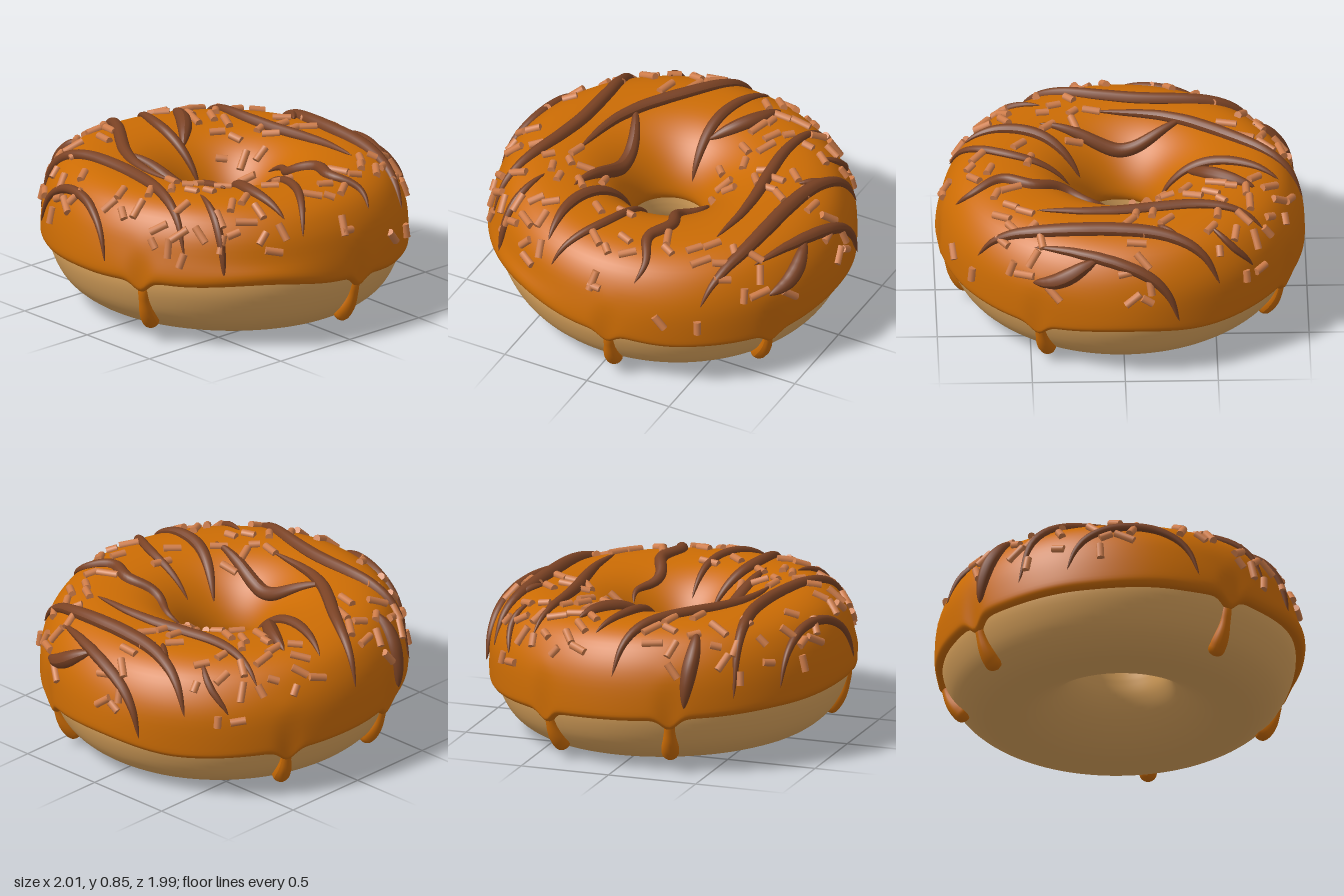
import * as THREE from 'three';

const mat = (name, color) => Object.assign(new THREE.MeshStandardMaterial({ color }), { name });
const V2 = (p) => new THREE.Vector2(p[0], p[1]);
const DEG = Math.PI / 180;

// Ring space (radius, height, azimuth) to model space, with an off-centre hole and a slight tilt
function place(r, y, az) {
  const x = r * Math.cos(az) - 0.035 * (1 - r);
  return new THREE.Vector3(x, y - 0.028 * x, r * Math.sin(az) + 0.01 * (1 - r));
}

// Ring surface swept round the axis from one cross-section per azimuth
function ringSurface(section, nAz, closed) {
  const pos = [], idx = [];
  let n = 0;
  for (let i = 0; i < nAz; i++) {
    const az = (i / nAz) * Math.PI * 2, pts = section(az);
    n = pts.length;
    for (const p of pts) pos.push(...place(p.x, p.y, az).toArray());
  }
  for (let i = 0; i < nAz; i++) {
    const k = (i + 1) % nAz;
    for (let j = 0; j < (closed ? n : n - 1); j++) {
      const m = (j + 1) % n;
      idx.push(i * n + j, k * n + j, i * n + m, k * n + j, k * n + m, i * n + m);
    }
  }
  const g = new THREE.BufferGeometry();
  g.setAttribute('position', new THREE.Float32BufferAttribute(pos, 3));
  g.setIndex(idx);
  g.computeVertexNormals();
  return g;
}

// Icing rim height round the ring, dipping where the drips run
const DRIPS = [84, 29, 160, -65, -109].map((d) => d * DEG);
const RIM = [0.32, 0.29, 0.3, 0.34, 0.38, 0.355, 0.335, 0.32, 0.31, 0.3, 0.29, 0.28];
function rimHeight(az) {
  const t = (az / (Math.PI * 2)) * RIM.length, i = Math.floor(t);
  const w = (1 - Math.cos((t - i) * Math.PI)) / 2;
  let y = THREE.MathUtils.lerp(RIM[i], RIM[(i + 1) % RIM.length], w);
  for (const d of DRIPS) {
    const a = Math.atan2(Math.sin(az - d), Math.cos(az - d));
    y -= 0.06 * Math.exp(-((a / 0.06) ** 2));
  }
  return y;
}

// Icing cross-section, from inside the hole over the top to the outer lip
function icingSection(rim, n) {
  const R = 0.87 + 0.25 * rim;
  return new THREE.SplineCurve([
    [0.26, 0.39], [0.215, 0.405], [0.198, 0.46], [0.225, 0.555], [0.285, 0.65], [0.37, 0.727], [0.48, 0.777],
    [0.62, 0.795], [0.76, 0.783], [0.87, 0.728], [0.942, 0.63], [0.98, 0.51],
    [R + 0.044, rim + 0.06], [R + 0.035, rim + 0.015], [R + 0.005, rim], [R - 0.05, rim + 0.02],
  ].map(V2)).getPoints(n);
}

// Point and outward normal on the icing above a given x, z
const SAMPLES = icingSection(0.33, 900);
const FIRST = SAMPLES.reduce((b, p, i) => (p.x < SAMPLES[b].x ? i : b), 0);
const LAST = SAMPLES.reduce((b, p, i) => (p.x > SAMPLES[b].x ? i : b), 0);
function onIcing(x, z) {
  const k = 1 - Math.hypot(x, z), X = x + 0.035 * k, Z = z - 0.01 * k;
  const r = Math.hypot(X, Z), az = Math.atan2(Z, X);
  let i = FIRST + 1;
  while (i < LAST && SAMPLES[i].x < r) i++;
  const s = SAMPLES[i], d = SAMPLES[i + 3].clone().sub(SAMPLES[i - 3]);
  const normal = new THREE.Vector3(-d.y * Math.cos(az), d.x, -d.y * Math.sin(az)).normalize();
  return { point: place(s.x, s.y, az), normal };
}

// Round tube whose radius follows a rule along its length
function taperedTube(points, radius, steps, sides) {
  const curve = new THREE.CatmullRomCurve3(points);
  const g = new THREE.TubeGeometry(curve, steps, 1, sides), p = g.attributes.position;
  const v = new THREE.Vector3();
  for (let i = 0; i <= steps; i++) {
    const c = curve.getPointAt(i / steps), r = Math.max(radius(i / steps), 0.0005);
    for (let j = 0; j <= sides; j++) {
      const q = i * (sides + 1) + j;
      v.fromBufferAttribute(p, q).sub(c).multiplyScalar(r).add(c);
      p.setXYZ(q, v.x, v.y, v.z);
    }
  }
  g.computeVertexNormals();
  return g;
}

// Drizzle strokes: half width, start x z, end x z, sideways bow, wiggle and its frequency
const DRIZZLES = [
  [0.027, -0.82, -0.56, -0.985, 0.13, 0.03],
  [0.037, -0.63, -0.77, -0.8, 0.56, 0.1],
  [0.036, -0.01, -0.97, -0.51, 0.13, -0.08, 0.04],
  [0.04, -0.43, -0.36, -0.38, 0.43, 0.085, 0.02],
  [0.031, 0.13, -0.84, 0, -0.21, -0.05],
  [0.042, 0.27, -0.71, 0.02, -0.36, 0.03],
  [0.034, 0.52, -0.75, 0.5, 0.46, -0.025, -0.03],
  [0.02, 0.68, -0.69, 0.64, -0.46, 0.04],
  [0.043, 0.83, -0.51, 0.57, 0.78, 0, -0.03],
  [0.022, 0.66, -0.18, 0.78, -0.32],
  [0.034, 0.955, -0.29, 0.74, 0.48, 0.03],
  [0.046, 0.87, 0.14, 0.835, 0.49, 0.04],
  [0.034, -0.15, 0.22, -0.32, 0.83, -0.07],
  [0.025, -0.01, 0.28, -0.26, 0.91, 0.07],
  [0.034, 0.25, 0.07, 0.23, 0.89, -0.03, 0.028, 5],
  [0.024, -0.56, 0.42, -0.67, 0.735],
  [0.044, -0.4, -0.72, -0.4, -0.915, 0.02],
];
function strokeGeometry([w, x0, z0, x1, z1, bow = 0, wiggle = 0, freq = 2]) {
  const dx = x1 - x0, dz = z1 - z0, len = Math.hypot(dx, dz), path = [];
  for (let i = 0; i <= 18; i++) {
    const t = i / 18, off = (bow * Math.sin(Math.PI * t) + wiggle * Math.sin(freq * Math.PI * t)) / len;
    const s = onIcing(x0 + dx * t + dz * off, z0 + dz * t - dx * off);
    path.push(s.point.addScaledVector(s.normal, 0.006));
  }
  return taperedTube(path, (u) => w * Math.max(0, Math.sin(Math.PI * u)) ** 0.65, 48, 12);
}

// Sprinkle clusters: x, z, count
const CLUSTERS = [
  [-0.9, -0.3, 6], [-0.79, 0.14, 5], [-0.82, 0.51, 7], [-0.52, 0.77, 10], [-0.64, -0.67, 8], [-0.33, -0.75, 9],
  [0.34, -0.8, 9], [0.63, -0.62, 8], [0.3, -0.47, 6], [0.93, -0.1, 5], [0.32, -0.16, 7], [0.61, -0.15, 5],
  [-0.1, 0.48, 2], [0, 0.82, 5], [0.35, 0.62, 3], [0.66, 0.6, 9], [-0.46, 0.25, 8],
];
function seeded(seed) {
  return () => (seed = (seed * 16807) % 2147483647) / 2147483647;
}

export function createModel() {
  const model = new THREE.Group();
  const doughMat = mat('dough', 0xdea65e), icingMat = mat('caramel icing', 0xcc6c04);
  const drizzleMat = mat('chocolate drizzle', 0x7a4224), sprinkleMat = mat('sprinkle', 0xcf7d4a);
  const add = (name, geometry, material, parent = model) => {
    const m = new THREE.Mesh(geometry, material);
    m.name = name;
    parent.add(m);
    return m;
  };
  const group = (name) => {
    const g = new THREE.Group();
    g.name = name;
    model.add(g);
    return g;
  };

  // Dough ring
  const dough = new THREE.SplineCurve([
    [0.235, 0.36], [0.25, 0.5], [0.38, 0.67], [0.6, 0.73], [0.82, 0.67], [0.93, 0.5], [0.955, 0.36], [0.928, 0.24],
    [0.862, 0.125], [0.75, 0.045], [0.62, 0.02], [0.5, 0.037], [0.39, 0.095], [0.3, 0.18], [0.25, 0.27], [0.235, 0.36],
  ].map(V2)).getPoints(60).slice(0, -1);
  add('dough', ringSurface(() => dough, 120, true), doughMat);

  // Icing with its wavy lip
  add('icing', ringSurface((az) => icingSection(rimHeight(az), 60), 300, false), icingMat);

  // Drips running down the dough, each ending in a bulb
  const drips = group('drips');
  const dripPath = [[0.925, 0.36], [0.932, 0.28], [0.908, 0.19], [0.855, 0.11], [0.815, 0.07]];
  const dripRadius = (u) => (0.03 + 0.018 * THREE.MathUtils.smoothstep(u, 0.35, 0.8))
    * Math.sqrt(Math.max(0, 1 - (Math.max(0, u - 0.86) / 0.14) ** 2));
  for (const az of DRIPS) {
    add('drip', taperedTube(dripPath.map(([r, y]) => place(r, y, az)), dripRadius, 40, 16), icingMat, drips);
  }

  // Drizzle strokes laid on the icing
  const drizzle = group('drizzle');
  for (const stroke of DRIZZLES) add('drizzleStroke', strokeGeometry(stroke), drizzleMat, drizzle);

  // Sprinkles scattered in clusters, kept apart from each other
  const sprinkles = group('sprinkles'), rand = seeded(4217), placed = [];
  const rod = new THREE.CylinderGeometry(0.021, 0.021, 1, 10);
  const up = new THREE.Vector3(0, 1, 0);
  const sprinkle = ({ point, normal }) => {
    const dir = new THREE.Vector3(rand() - 0.5, rand() - 0.5, rand() - 0.5).projectOnPlane(normal).normalize();
    const m = add('sprinkle', rod, sprinkleMat, sprinkles);
    m.position.copy(point).addScaledVector(normal, 0.006);
    m.quaternion.setFromUnitVectors(up, dir);
    m.scale.y = 0.06 + 0.06 * rand();
    placed.push(m.position);
  };
  for (const [cx, cz, count] of CLUSTERS) {
    for (let n = 0, tries = 0; n < count && tries < 200; tries++) {
      const a = rand() * Math.PI * 2, d = (0.09 + 0.01 * count) * Math.sqrt(rand());
      const x = cx + d * Math.cos(a), z = cz + d * Math.sin(a);
      const s = onIcing(x, z);
      if (Math.hypot(x, z) > 0.982 || placed.some((p) => p.distanceTo(s.point) < 0.085)) continue;
      sprinkle(s);
      n++;
    }
  }
  // A few stray sprinkles on the outer wall
  for (const [x, z] of [[0.39, 0.905], [0.57, 0.81], [0.02, 0.95], [0.9, 0.38], [0.97, -0.12]]) sprinkle(onIcing(x, z));
  return model;
}
